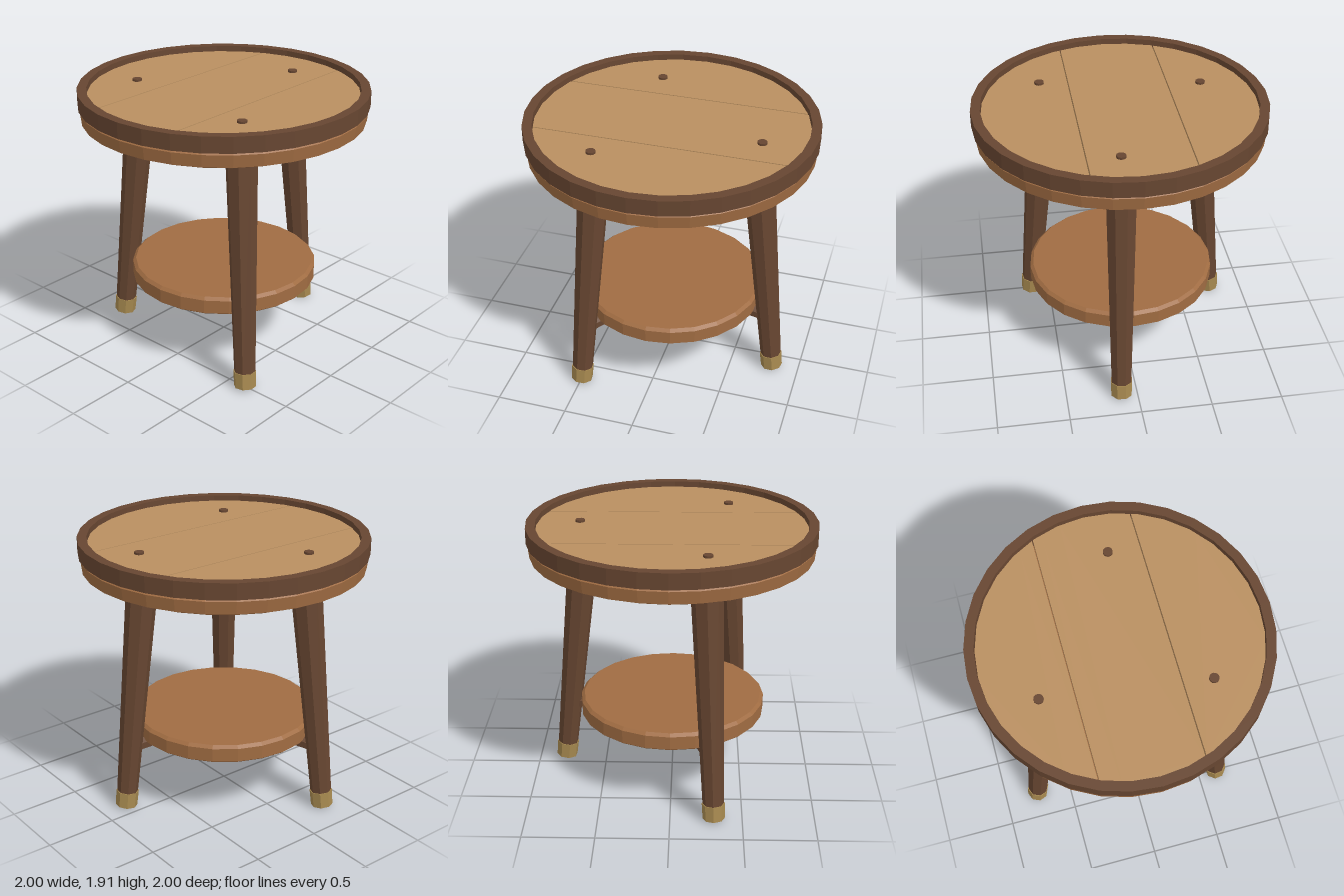
import * as THREE from 'three';

const mat = (color) => new THREE.MeshStandardMaterial({ color, flatShading: true });

export function createModel() {
  const model = new THREE.Group();
  const plankWood = mat(0xb98f60), wood = mat(0xa06c42), darkWood = mat(0x674631), brass = mat(0xa88a50);

  const add = (parent, name, geometry, material) => {
    const mesh = new THREE.Mesh(geometry, material);
    mesh.name = name;
    parent.add(mesh);
    return mesh;
  };
  // Turned part from [radius, height] pairs, bottom to top
  const lathe = (name, profile, sides, material) =>
    add(model, name, new THREE.LatheGeometry(profile.map(([r, y]) => new THREE.Vector2(r, y)), sides), material);

  // Round top: chamfered base and raised rim
  lathe('tabletopBase', [[0, 1.665], [0.9, 1.665], [0.98, 1.7], [0.99, 1.785], [0.975, 1.8], [0, 1.8]], 32, wood);
  lathe('rim', [[0.93, 1.8], [1, 1.8], [1, 1.91], [0.935, 1.91], [0.93, 1.8]], 32, darkWood);

  // Three planks inside the rim, split by narrow gaps
  const R = 0.935, gap = 0.004, cuts = [-R, -0.37, 0.31, R];
  for (let i = 0; i < 3; i++) {
    const a = Math.asin((cuts[i] + (i > 0 ? gap : 0)) / R);
    const b = Math.asin((cuts[i + 1] - (i < 2 ? gap : 0)) / R);
    const right = [], left = [];
    for (let k = 0; k <= 10; k++) {
      const t = a + (b - a) * k / 10;
      right.push(new THREE.Vector2(R * Math.cos(t), -R * Math.sin(t)));
      left.unshift(new THREE.Vector2(-R * Math.cos(t), -R * Math.sin(t)));
    }
    const geo = new THREE.ExtrudeGeometry(new THREE.Shape([...right, ...left]), { depth: 0.07, bevelEnabled: false });
    geo.rotateX(-Math.PI / 2).translate(0, 1.8, 0);
    add(model, 'plank', geo, plankWood);
  }

  // Lower shelf
  lathe('shelf', [[0, 0.485], [0.65, 0.485], [0.662, 0.495], [0.662, 0.59], [0.64, 0.61], [0, 0.61]], 24, wood);

  // Tapered bar in the leg's radial plane, with a corner pointing down
  const bar = (parent, name, sides, [x0, y0, r0], [x1, y1, r1], material) => {
    const geo = new THREE.CylinderGeometry(r0, r1, Math.hypot(x1 - x0, y1 - y0), sides);
    if (sides === 6) geo.rotateY(Math.PI / 6);
    geo.rotateZ(Math.PI / 2);
    const mesh = add(parent, name, geo, material);
    mesh.position.set((x0 + x1) / 2, (y0 + y1) / 2, 0);
    mesh.rotation.z = Math.atan2(y1 - y0, x1 - x0);
  };

  // Three splayed legs, each with its foot cap, brace, bracket and peg
  for (let i = 0; i < 3; i++) {
    const side = new THREE.Group();
    side.name = 'legAssembly';
    side.rotation.y = -THREE.MathUtils.degToRad(8 + 120 * i);
    model.add(side);

    const leg = new THREE.Group();
    leg.name = 'splayedLeg';
    leg.position.set(0.81, 0.008, 0);
    leg.rotation.z = THREE.MathUtils.degToRad(6.2);
    side.add(leg);
    const post = new THREE.CylinderGeometry(0.109, 0.072, 1.69, 8);
    add(leg, 'leg', post.rotateY(Math.PI / 8).translate(0, 0.85, 0), darkWood);
    const cap = new THREE.CylinderGeometry(0.08, 0.077, 0.115, 8);
    add(leg, 'footCap', cap.rotateY(Math.PI / 8).translate(0, 0.0575, 0), brass);

    bar(side, 'topBrace', 4, [0, 1.6, 0.107], [0.63, 1.663, 0.08], wood);
    bar(side, 'shelfBracket', 6, [0.475, 0.48, 0.046], [0.76, 0.457, 0.046], darkWood);

    const peg = add(side, 'peg', new THREE.CylinderGeometry(0.033, 0.033, 0.03, 12), darkWood);
    peg.position.set(0.645, 1.87, 0);
  }
  return model;
}
